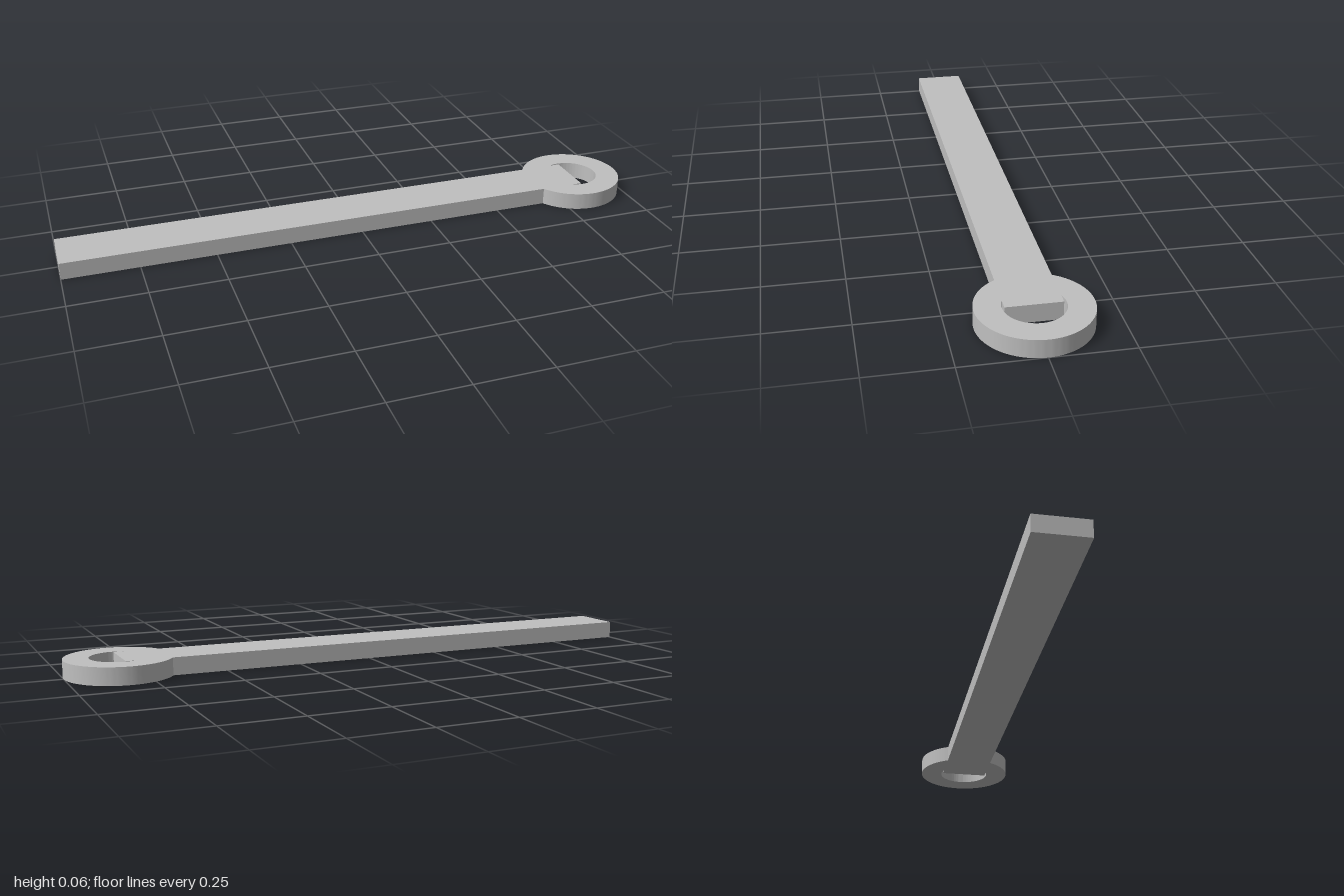
import * as THREE from 'three';
import { toCreasedNormals } from 'three/addons/utils/BufferGeometryUtils.js';

const THICK = 0.057;     // height of the flat bar
const HALF = 0.085;      // half width of the handle
const CX = 0.828;        // centre of the ring end
const R_OUT = 0.172;
const R_IN = 0.092;
const BAR_END = 0.826;   // where the handle stops inside the ring

export function createModel() {
  const group = new THREE.Group();
  group.name = 'ringEndedBar';
  const steel = new THREE.MeshStandardMaterial({ color: 0xc0c0c0 });
  steel.name = 'grey steel';

  // Outline: straight handle running into a round head
  const a = Math.PI - Math.asin(HALF / R_OUT);
  const outline = new THREE.Shape();
  outline.moveTo(-1, -HALF);
  outline.lineTo(CX + R_OUT * Math.cos(a), -HALF);
  outline.absarc(CX, 0, R_OUT, -a, a, false);
  outline.lineTo(-1, HALF);
  outline.closePath();

  // Opening: round hole partly filled by the square end of the handle
  const b = Math.PI - Math.asin(HALF / R_IN);
  const hole = new THREE.Path();
  hole.moveTo(BAR_END, HALF);
  hole.lineTo(CX + R_IN * Math.cos(b), HALF);
  hole.absarc(CX, 0, R_IN, b, -b, true);
  hole.lineTo(BAR_END, -HALF);
  hole.closePath();
  outline.holes.push(hole);

  // Lay the plate flat on the ground, smooth round walls, sharp rims
  const plate = new THREE.ExtrudeGeometry(outline, { depth: THICK, bevelEnabled: false, curveSegments: 64 });
  plate.rotateX(-Math.PI / 2);
  const mesh = new THREE.Mesh(toCreasedNormals(plate, Math.PI / 6), steel);
  mesh.name = 'handleAndRing';
  group.add(mesh);
  return group;
}
